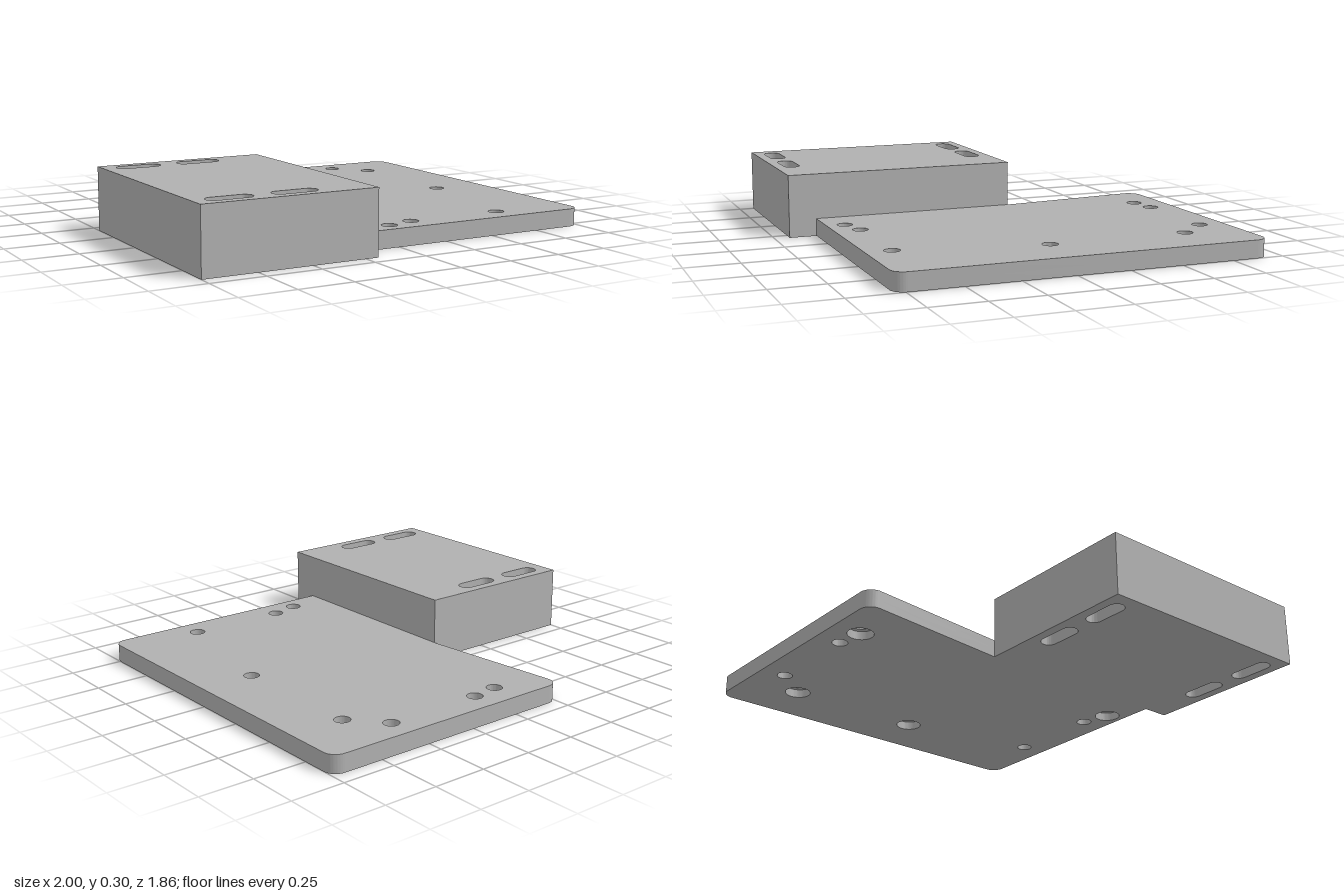
import * as THREE from 'three';
import { toCreasedNormals } from 'three/addons/utils/BufferGeometryUtils.js';

const grey = new THREE.MeshStandardMaterial({ color: 0xb0b0b0 });
grey.name = 'plain grey';

// Shapes are drawn in plan: shape x = model x, shape y = model z
function slab(name, shape, bottom, top) {
  const geometry = new THREE.ExtrudeGeometry(shape, { depth: top - bottom, bevelEnabled: false, curveSegments: 24 });
  geometry.rotateX(Math.PI / 2).translate(0, top, 0);
  const mesh = new THREE.Mesh(toCreasedNormals(geometry, 0.6), grey);
  mesh.name = name;
  return mesh;
}

function roundHole(x, z, r) {
  return new THREE.Path().absarc(x, z, r, 0, Math.PI * 2, true);
}

function slotHole(x, z, halfLength, r) {
  const path = new THREE.Path();
  path.absarc(x + halfLength - r, z, r, -Math.PI / 2, Math.PI / 2, false);
  path.absarc(x - halfLength + r, z, r, Math.PI / 2, Math.PI * 1.5, false);
  path.closePath();
  return path;
}

// Plate outline, notched where the block stands, with rounded free corners
function plateOutline() {
  const left = -0.26, right = 1, back = -0.93, front = 0.8, r = 0.06;
  const s = new THREE.Shape();
  s.moveTo(left, -0.18);
  s.absarc(left + r, back + r, r, Math.PI, Math.PI * 1.5, false);
  s.absarc(right - r, back + r, r, -Math.PI / 2, 0, false);
  s.absarc(right - r, front - r, r, 0, Math.PI / 2, false);
  s.lineTo(-0.19, front);
  s.lineTo(-0.19, -0.18);
  s.closePath();
  return s;
}

export function createModel() {
  const model = new THREE.Group();
  model.name = 'mountingBracket';

  // Base plate in two layers: the lower one has the wide counterbores
  const plainHoles = [[0.135, -0.81], [0.605, -0.81], [0.135, 0.68], [0.605, 0.68]];
  const boredHoles = [[0, -0.79], [0.74, -0.655], [0.74, 0.01], [0, 0.715]];
  const plate = new THREE.Group();
  plate.name = 'basePlate';
  const layers = [['plateUnderside', 0, 0.04, 0.06], ['plateTop', 0.04, 0.083, 0.036]];
  for (const [name, bottom, top, boreRadius] of layers) {
    const shape = plateOutline();
    for (const [x, z] of plainHoles) shape.holes.push(roundHole(x, z, 0.036));
    for (const [x, z] of boredHoles) shape.holes.push(roundHole(x, z, boreRadius));
    plate.add(slab(name, shape, bottom, top));
  }
  model.add(plate);

  // Raised block with four through slots
  const block = new THREE.Shape();
  block.moveTo(-1, -0.18);
  block.lineTo(-0.19, -0.18);
  block.lineTo(-0.19, 0.93);
  block.lineTo(-1, 0.93);
  block.closePath();
  for (const x of [-0.835, -0.54]) {
    for (const z of [-0.095, 0.845]) block.holes.push(slotHole(x, z, 0.105, 0.038));
  }
  model.add(slab('slottedBlock', block, 0, 0.297));

  return model;
}
